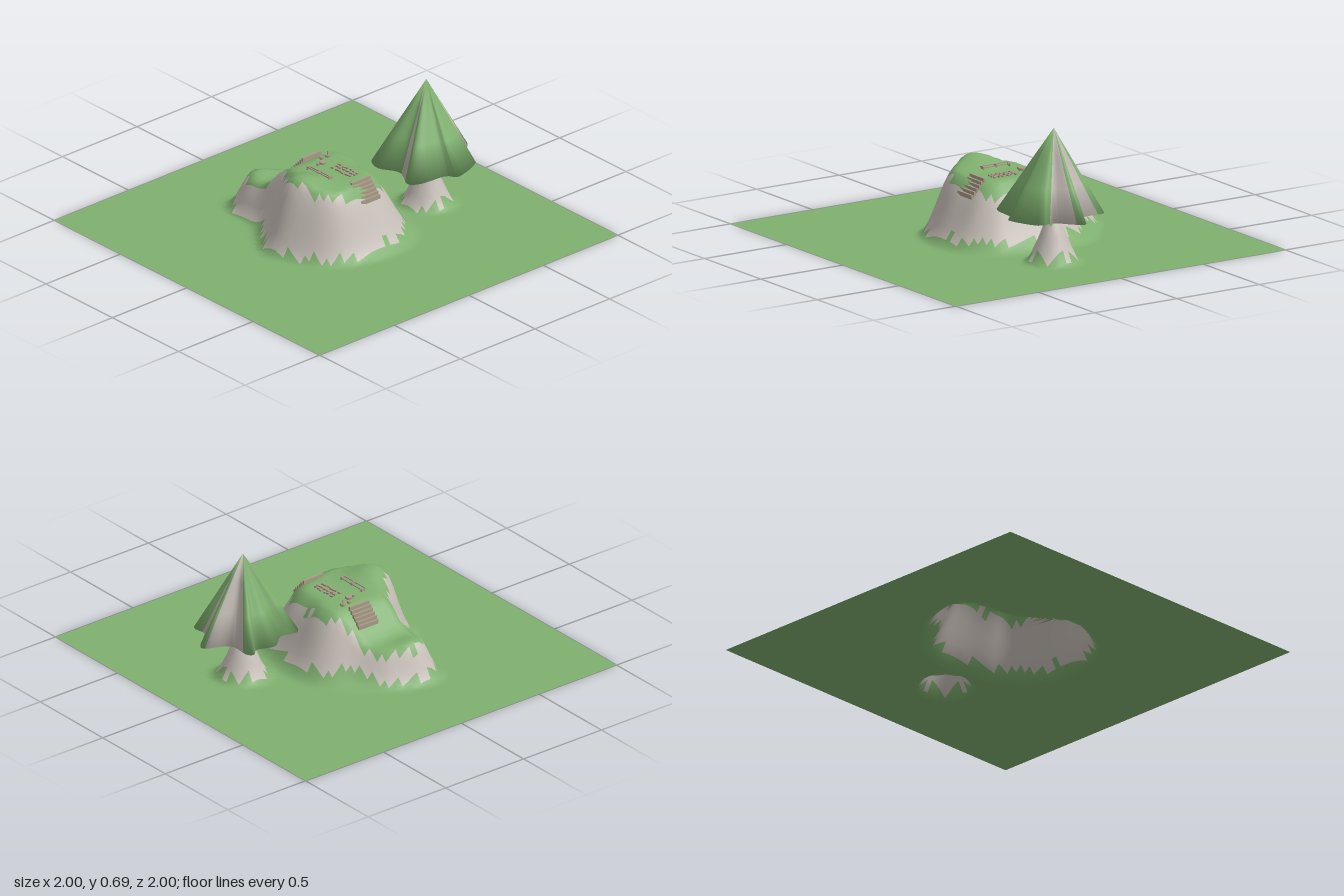
import * as THREE from 'three';

const { smoothstep, lerp } = THREE.MathUtils;
const material = (color) => new THREE.MeshStandardMaterial({ color, side: THREE.DoubleSide });
const bump = (x, z, cx, cz, s) => Math.exp(-((x - cx) ** 2 + (z - cz) ** 2) / (2 * s * s));
const hash = (i) => { const v = Math.sin(i * 12.9898) * 43758.5453; return v - Math.floor(v); };

// Hill footprint every 22.5 degrees from +x towards +z: [outer radius, plateau radius]
const footprint = new THREE.CatmullRomCurve3([
  [.43, .17], [.44, .22], [.46, .27], [.46, .28], [.47, .3], [.42, .24], [.43, .25], [.61, .47],
  [.56, .4], [.48, .25], [.45, .18], [.40, .14], [.37, .1], [.37, .1], [.41, .14], [.43, .17],
].map(([r, p]) => new THREE.Vector3(r, p, 0)), true, 'catmullrom');

function groundHeight(x, z) {
  const a = Math.atan2(z, x) / (2 * Math.PI);
  const edge = footprint.getPoint(a < 0 ? a + 1 : a);
  const top = lerp(0.175, 0.33, smoothstep(x, -0.36, -0.14))
    + 0.055 * bump(x, z, 0.03, 0.25, 0.08) + 0.025 * bump(x, z, -0.46, 0.14, 0.07);
  const hill = top * (1 - smoothstep(Math.hypot(x, z), edge.y, edge.x));
  const mound = 0.25 * (1 - smoothstep(Math.hypot(x - 0.09, z + 0.53), 0, 0.15));
  return Math.max(hill, mound) + 0.3 * Math.min(hill, mound);
}

// Splits one smooth surface into a grass mesh and a rock mesh with shared normals
function grassAndRock(geometry, name, grass, rock, isRock, step) {
  const group = new THREE.Group();
  group.name = name;
  const index = Array.from(geometry.index.array);
  const parts = [[], []];
  for (let i = 0; i < index.length; i += step) {
    const face = index.slice(i, i + step);
    parts[isRock(face, i / step) ? 1 : 0].push(...face);
  }
  parts.forEach((list, k) => {
    const g = geometry.clone();
    g.setIndex(list);
    const mesh = new THREE.Mesh(g, k ? rock : grass);
    mesh.name = name + (k ? 'Rock' : 'Grass');
    group.add(mesh);
  });
  return group;
}

// Ground sheet with the hill and the tree mound
function makeGround(grass, rock) {
  const g = new THREE.PlaneGeometry(2, 2, 64, 64).rotateX(-Math.PI / 2);
  const p = g.attributes.position;
  for (let i = 0; i < p.count; i++) p.setY(i, groundHeight(p.getX(i), p.getZ(i)));
  g.computeVertexNormals();
  const n = g.attributes.normal;
  const steep = (face, i) =>
    face.reduce((sum, v) => sum + n.getY(v), 0) / face.length < 0.59 + 0.08 * (hash(i) - 0.5);
  return grassAndRock(g, 'ground', grass, rock, steep, 6);
}

// Fluted cone crown with a flat underside
function makeCrown(grass, rock) {
  const rim = new THREE.CatmullRomCurve3([
    [-.02, -.262], [.03, -.25], [.107, -.16], [.2, -.155], [.262, .01], [.214, .064], [.198, .203],
    [.155, .262], [.08, .225], [.016, .208], [-.08, .256], [-.17, .214], [-.155, .118], [-.22, .032],
    [-.192, -.064], [-.225, -.107], [-.198, -.139], [-.08, -.144],
  ].map(([x, z]) => new THREE.Vector3(x, 0, z)), true, 'catmullrom').getPoints(72).slice(0, 72);
  const count = rim.length, rings = [0.3, 0.64, 1], height = 0.445;
  const points = [0, height, 0], index = [], kind = [];
  for (const t of rings) for (const v of rim) points.push(v.x * t, height * (1 - t), v.z * t);
  points.push(0, 0, 0);
  const centre = points.length / 3 - 1;
  const tri = (i, ...corners) => { index.push(...corners); kind.push(i); };
  for (let i = 0; i < count; i++) {
    const j = (i + 1) % count;
    tri(i, 0, 1 + j, 1 + i);
    for (let r = 0; r < rings.length - 1; r++) {
      const a = 1 + r * count, b = a + count;
      tri(i, a + i, a + j, b + i);
      tri(i, a + j, b + j, b + i);
    }
    const last = 1 + (rings.length - 1) * count;
    tri(-1, centre, last + i, last + j);
  }
  const g = new THREE.BufferGeometry();
  g.setAttribute('position', new THREE.Float32BufferAttribute(points, 3));
  g.setIndex(index);
  g.computeVertexNormals();
  // Bare streaks run down some of the flutes
  const streaks = [[4, 8], [30, 33], [65, 71]];
  const crown = grassAndRock(g, 'treeCrown', grass, rock,
    (face, i) => streaks.some(([a, b]) => kind[i] >= a && kind[i] <= b), 3);
  crown.position.set(0.085, 0.245, -0.53);
  return crown;
}

export function createModel() {
  const model = new THREE.Group();
  const grass = material(0x7fb06f), rock = material(0xc6beb7), wood = material(0xa99c86);
  model.add(makeGround(grass, rock), makeCrown(grass, rock));

  const add = (name, geometry, x, y, z, turn = 0, mat = wood) => {
    const mesh = new THREE.Mesh(geometry, mat);
    mesh.name = name;
    mesh.position.set(x, y, z);
    mesh.rotation.y = turn;
    model.add(mesh);
    return mesh;
  };

  // Flights of steps down both sides of the plateau
  for (const side of [-1, 1]) {
    for (let i = 0; i < 6; i++) {
      add(side > 0 ? 'leftStep' : 'rightStep', new THREE.BoxGeometry(0.012, 0.022, 0.125),
        side * (0.185 + 0.0145 * i), 0.332 - 0.0155 * i, 0);
    }
  }

  // Low fence
  for (const z of [0.1, 0.12]) {
    add('fenceRail', new THREE.BoxGeometry(0.17, 0.005, 0.005), 0, groundHeight(0, z) + 0.008, z);
  }
  for (const x of [-0.08, 0, 0.08]) {
    add('fencePost', new THREE.BoxGeometry(0.006, 0.02, 0.026), x, groundHeight(x, 0.11) + 0.004, 0.11);
  }

  // Paving slabs scattered over the plateau
  for (let i = 0; i < 18; i++) {
    const x = -0.02 + 0.025 * (i % 6) + 0.01 * hash(i);
    const z = -0.05 + 0.025 * Math.floor(i / 6) + 0.01 * hash(i + 40);
    add('slab', new THREE.BoxGeometry(0.012 + 0.01 * hash(i + 80), 0.01, 0.012),
      x, groundHeight(x, z) + 0.003, z, 0.4 * hash(i + 9));
  }

  // Stumps and a marker post
  for (const [x, z, r] of [[-0.09, 0.01, 0.018], [-0.13, -0.06, 0.014], [-0.13, -0.02, 0.01], [-0.09, 0.04, 0.008]]) {
    add('stump', new THREE.CylinderGeometry(r, r, 0.016, 8), x, groundHeight(x, z) + 0.004, z);
  }
  add('markerPost', new THREE.CylinderGeometry(0.003, 0.003, 0.04, 6), -0.13, 0.342, -0.06);
  return model;
}
